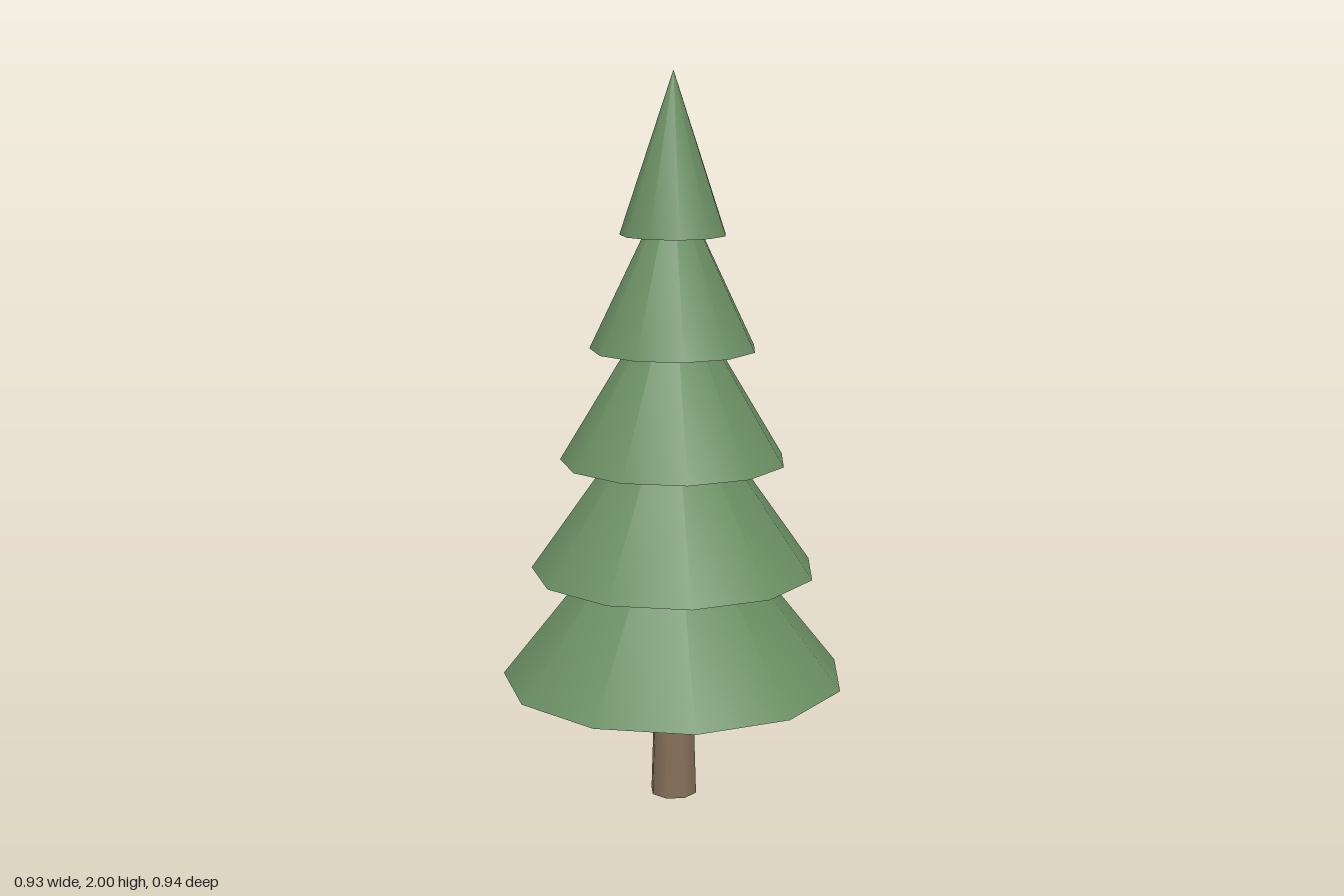
import * as THREE from 'three';

export function createModel() {
  const tree = new THREE.Group();
  tree.name = 'pineTree';
  const needleGreen = new THREE.MeshStandardMaterial({ name: 'needleGreen', color: 0x6a8f63 });
  const barkBrown = new THREE.MeshStandardMaterial({ name: 'barkBrown', color: 0x86705a });
  const axisX = -0.0096; // centres the eleven-sided crown on x = 0

  // Tapered trunk, ending inside the lowest tier
  const trunkHeight = 0.4;
  const trunk = new THREE.Mesh(
    new THREE.CylinderGeometry(0.053, 0.066, trunkHeight, 8, 1, false, Math.PI / 2), barkBrown);
  trunk.name = 'trunk';
  trunk.position.set(axisX, trunkHeight / 2, 0);
  tree.add(trunk);

  // Five overlapping cones, each smaller and steeper than the one below
  const tiers = 5;
  for (let i = 0; i < tiers; i++) {
    const t = i / (tiers - 1);
    const radius = THREE.MathUtils.lerp(0.4746, 0.144, t);
    const height = THREE.MathUtils.lerp(0.6, 0.43, t);
    const base = THREE.MathUtils.lerp(0.345, 1.57, t);
    const tier = new THREE.Mesh(
      new THREE.ConeGeometry(radius, height, 11, 1, false, Math.PI / 2), needleGreen);
    tier.name = `branchTier${i + 1}`;
    tier.position.set(axisX, base + height / 2, 0);
    tree.add(tier);
  }
  return tree;
}
